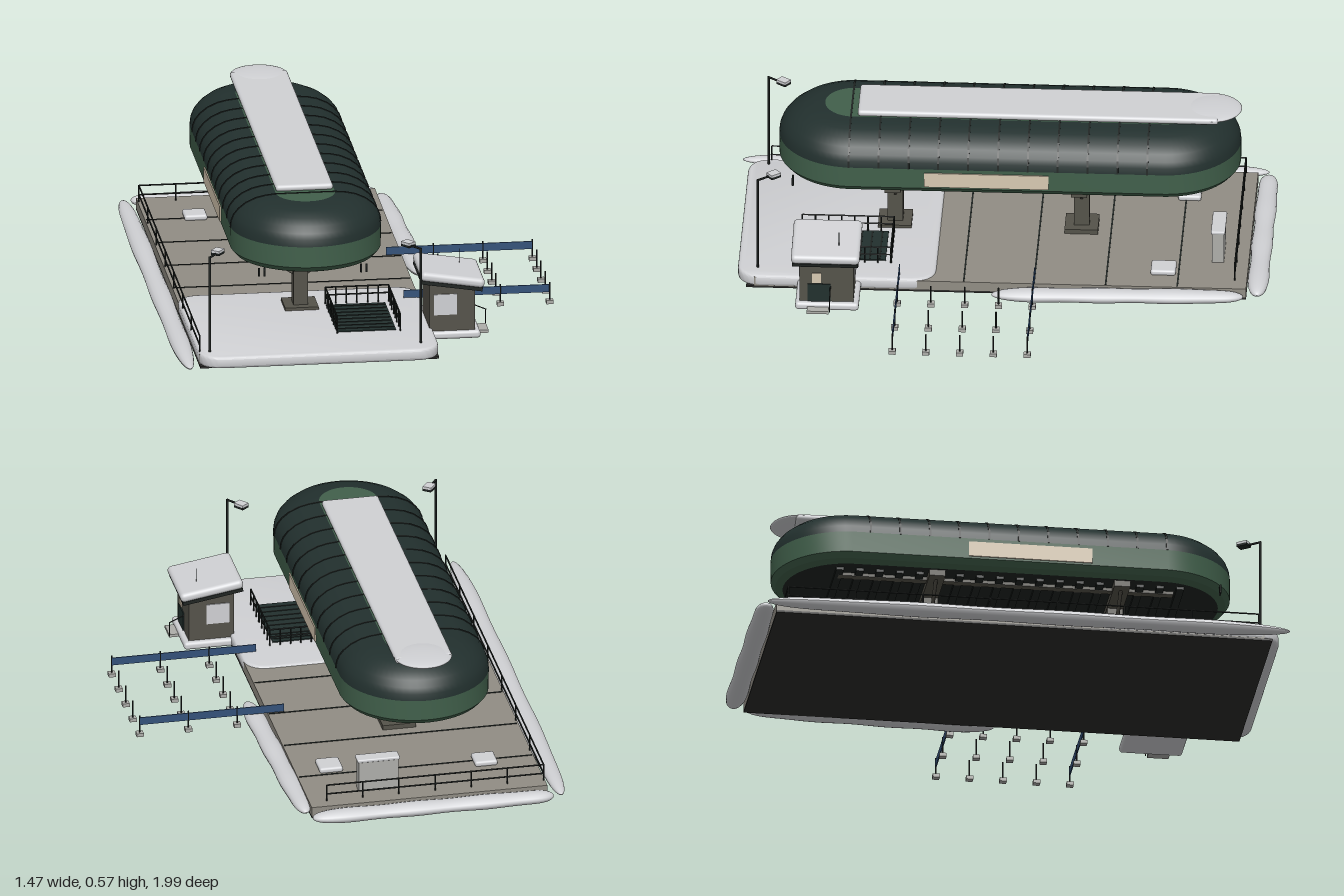
import * as THREE from 'three';
import { toCreasedNormals } from 'three/addons/utils/BufferGeometryUtils.js';
import { RoundedBoxGeometry } from 'three/addons/geometries/RoundedBoxGeometry.js';

const paint = (name, color) => Object.assign(new THREE.MeshStandardMaterial({ color }), { name });
const M = {
  snow: paint('snow', 0xd0d1d4),
  concrete: paint('concrete', 0x918d84),
  roof: paint('dark green roof', 0x22302e),
  green: paint('green cladding', 0x41604b),
  trim: paint('black trim', 0x1f2422),
  olive: paint('olive steel', 0x55534a),
  blue: paint('blue banner', 0x34527a),
  cream: paint('cream window', 0xd8c9b2),
  grey: paint('grey metal', 0xaeaeaa),
  under: paint('dark underside', 0x2b2b29),
};

export function createModel() {
  const model = new THREE.Group();
  const add = (name, geo, mat, x = 0, y = 0, z = 0, parent = model) => {
    const mesh = new THREE.Mesh(geo, mat);
    mesh.name = name;
    mesh.position.set(x, y, z);
    parent.add(mesh);
    return mesh;
  };
  // Box given by its limits on each axis
  const box = (name, mat, [x0, x1], [y0, y1], [z0, z1], round = 0, parent = model) => {
    const s = [x1 - x0, y1 - y0, z1 - z0];
    const geo = round ? new RoundedBoxGeometry(...s, 3, round) : new THREE.BoxGeometry(...s);
    return add(name, geo, mat, (x0 + x1) / 2, (y0 + y1) / 2, (z0 + z1) / 2, parent);
  };
  const rod = (name, mat, a, b, r = 0.003, parent = model) => {
    const p = new THREE.Vector3(...a), q = new THREE.Vector3(...b), d = q.clone().sub(p);
    const mesh = add(name, new THREE.CylinderGeometry(r, r, d.length(), 6), mat, 0, 0, 0, parent);
    mesh.position.copy(p).add(q).multiplyScalar(0.5);
    mesh.quaternion.setFromUnitVectors(new THREE.Vector3(0, 1, 0), d.normalize());
    return mesh;
  };
  // Railing with two rails and evenly spaced posts
  const railing = (name, a, b, n, y0, heights) => {
    const g = new THREE.Group();
    g.name = name;
    model.add(g);
    for (const y of heights) rod('rail', M.trim, [a[0], y, a[1]], [b[0], y, b[1]], 0.003, g);
    for (let i = 0; i <= n; i++) {
      const x = a[0] + (b[0] - a[0]) * i / n, z = a[1] + (b[1] - a[1]) * i / n;
      rod('railPost', M.trim, [x, y0, z], [x, heights[0], z], 0.003, g);
    }
  };

  // Deck slab, joints and underside
  box('deckSlab', M.concrete, [-0.655, 0.235], [0.042, 0.078], [-0.92, 0.9]);
  box('deckUnderside', M.under, [-0.655, 0.235], [0.034, 0.042], [-0.92, 0.93]);
  for (const z of [-0.665, -0.4, -0.135, 0.125]) box('deckJoint', M.trim, [-0.65, 0.23], [0.078, 0.08], [z - 0.003, z + 0.003]);

  // Rounded snow cover on the front of the deck
  const pad = new THREE.Shape(), pw = 0.435, ph = 0.355, r = 0.08;
  pad.moveTo(-pw + r, -ph).lineTo(pw - r, -ph).quadraticCurveTo(pw, -ph, pw, -ph + r);
  pad.lineTo(pw, ph - r).quadraticCurveTo(pw, ph, pw - r, ph).lineTo(-pw + r, ph);
  pad.quadraticCurveTo(-pw, ph, -pw, ph - r).lineTo(-pw, -ph + r).quadraticCurveTo(-pw, -ph, -pw + r, -ph);
  const padGeo = new THREE.ExtrudeGeometry(pad, { depth: 0.025, bevelThickness: 0.01, bevelSize: 0.012, bevelSegments: 3 });
  add('snowCover', toCreasedNormals(padGeo.rotateX(-Math.PI / 2), 0.7), M.snow, -0.21, 0.05, 0.597);

  // Tapered snow banks along three edges
  const bank = (x, z, length, width, power, turn) => {
    const geo = new THREE.SphereGeometry(1, 16, 40).rotateX(Math.PI / 2);
    const p = geo.attributes.position;
    for (let i = 0; i < p.count; i++) {
      const t = THREE.MathUtils.clamp(p.getZ(i), -1, 1), ring = Math.sqrt(Math.max(1 - t * t, 1e-9));
      const k = Math.sqrt(Math.max(1 - Math.abs(t) ** power, 0)) / ring * (1 + 0.05 * Math.sin(t * 11));
      p.setXYZ(i, p.getX(i) * k * width / 2, p.getY(i) * k * 0.024, t * length / 2);
    }
    geo.computeVertexNormals();
    add('snowBank', geo, M.snow, x, 0.055, z).rotation.y = turn;
  };
  bank(-0.7, 0.015, 1.95, 0.074, 7, 0);
  bank(-0.215, -0.96, 0.91, 0.076, 12, Math.PI / 2);
  bank(0.268, -0.445, 0.93, 0.076, 7, 0.03);

  // Long round-ended cabin: lathed profiles pulled apart along z
  const cx = -0.215;
  const stadium = (name, pts, mat, z0 = -0.6, z1 = 0.55) => {
    const geo = new THREE.LatheGeometry(pts.map(q => new THREE.Vector2(...q)), 64, Math.PI / 64);
    const p = geo.attributes.position;
    for (let i = 0; i < p.count; i++) p.setZ(i, p.getZ(i) + (Math.cos(Math.PI / 64 + Math.floor(i / pts.length) * Math.PI / 32) > 0 ? z1 : z0));
    return add(name, toCreasedNormals(geo, 0.45), mat, cx);
  };
  const roofLine = [[0.28, 0.455], [0.277, 0.48], [0.268, 0.503], [0.25, 0.526], [0.222, 0.548], [0.185, 0.565], [0.15, 0.573], [0.11, 0.577]];
  stadium('cabinFloor', [[0, 0.345], [0.235, 0.345]], M.trim);
  stadium('cabinWall', [[0.235, 0.345], [0.262, 0.355], [0.279, 0.375], [0.28, 0.455]], M.green);
  stadium('cabinRoof', roofLine, M.roof);
  stadium('roofDeck', [[0.11, 0.577], [0, 0.577]], M.green);
  const arch = new THREE.Shape();
  [...roofLine, ...roofLine.map(([x, y]) => [-x, y]).reverse()].forEach(([x, y], i) => {
    const px = x * 1.008, py = 0.455 + (y - 0.455) * 1.015;
    i ? arch.lineTo(px, py) : arch.moveTo(px, py);
  });
  const ribGeo = new THREE.ExtrudeGeometry(arch, { depth: 0.007, bevelEnabled: false });
  for (let i = 0; i < 11; i++) add('roofRib', ribGeo, M.trim, cx, 0, -0.549 + i * 0.1105);

  // Snow strip and round drift on the roof
  box('roofSnow', M.snow, [-0.322, -0.108], [0.574, 0.599], [-0.8, 0.535], 0.012);
  const drift = add('roofDrift', new THREE.SphereGeometry(1, 32, 12), M.snow, cx, 0.59, -0.775);
  drift.scale.set(0.108, 0.014, 0.108);

  // Side windows, floor beams and front lights
  for (const s of [-1, 1]) {
    box('sideWindow', M.cream, [cx + s * 0.281 - 0.003, cx + s * 0.281 + 0.003], [0.383, 0.441], [-0.18, 0.28]);
    for (const d of [-0.01, 0.01]) rod('frontLight', M.trim, [cx + s * 0.19 + d, 0.33, 0.77], [cx + s * 0.19 + d, 0.362, 0.77], 0.004);
    box('floorGirder', M.olive, [cx + s * 0.14 - 0.015, cx + s * 0.14 + 0.015], [0.333, 0.346], [-0.65, 0.6]);
  }
  for (let i = 0; i < 18; i++) {
    const z = -0.65 + i * 0.0747;
    box('floorBeam', M.trim, [cx - 0.2, cx + 0.2], [0.334, 0.346], [z - 0.014, z + 0.014]);
  }

  // Two support columns with braces
  for (const z of [-0.29, 0.4]) {
    box('columnBase', M.olive, [-0.278, -0.153], [0.076, 0.096], [z - 0.062, z + 0.062]);
    box('column', M.olive, [-0.243, -0.189], [0.09, 0.346], [z - 0.029, z + 0.029]);
    box('columnCollar', M.trim, [-0.246, -0.186], [0.228, 0.236], [z - 0.032, z + 0.032]);
    box('columnHead', M.olive, [-0.44, 0.01], [0.322, 0.346], [z - 0.03, z + 0.03]);
    for (const s of [-1, 1]) rod('columnBrace', M.olive, [cx + s * 0.025, 0.212, z], [cx + s * 0.19, 0.33, z], 0.007);
  }

  // Deck railings
  railing('leftRailing', [-0.65, -0.875], [-0.65, 0.88], 7, 0.07, [0.142, 0.106]);
  railing('backRailing', [-0.65, -0.875], [0.17, -0.875], 6, 0.07, [0.142, 0.106]);

  // Stairwell with steps and guard rails
  box('stairwell', M.roof, [-0.12, 0.1], [0.08, 0.089], [0.42, 0.73]);
  for (let i = 0; i < 8; i++) box('stairEdge', M.trim, [-0.115, 0.095], [0.088, 0.091], [0.44 + i * 0.037, 0.446 + i * 0.037]);
  railing('stairBackRailing', [-0.12, 0.4], [0.115, 0.4], 6, 0.08, [0.15, 0.12]);
  railing('stairSideRailing', [0.115, 0.4], [0.115, 0.74], 7, 0.08, [0.15, 0.12]);
  railing('stairInnerRailing', [-0.12, 0.4], [-0.12, 0.74], 7, 0.08, [0.15, 0.12]);

  // Lamp posts turned towards the middle
  for (const [x, hx] of [[-0.615, -0.578], [0.172, 0.132]]) {
    rod('lampPost', M.trim, [x, 0.07, 0.89], [x, 0.455, 0.89], 0.0045);
    rod('lampArm', M.trim, [x, 0.452, 0.89], [hx, 0.452, 0.84], 0.004);
    for (const [name, mat, y] of [['lampHead', M.trim, 0.45], ['lampSnow', M.snow, 0.459]])
      add(name, new THREE.BoxGeometry(0.034, 0.009, 0.042), mat, hx, y, 0.833).rotation.y = Math.atan2(x - hx, 0.05);
  }

  // Equipment cabinet and low hatches on the deck
  box('cabinet', M.grey, [-0.112, 0.038], [0.076, 0.2], [-0.828, -0.785]);
  box('cabinetSnow', M.snow, [-0.117, 0.043], [0.197, 0.21], [-0.833, -0.78], 0.005);
  box('cabinetSeam', M.olive, [-0.037, -0.033], [0.085, 0.195], [-0.786, -0.783]);
  box('hatch', M.snow, [0.06, 0.148], [0.076, 0.098], [-0.655, -0.562], 0.009);
  box('hatch', M.snow, [-0.51, -0.425], [0.076, 0.098], [-0.72, -0.635], 0.009);

  // Ticket booth with a sloping snowy roof
  box('boothBase', M.snow, [0.2, 0.415], [0.042, 0.072], [0.505, 0.74], 0.012);
  box('booth', M.olive, [0.225, 0.395], [0.06, 0.25], [0.525, 0.725]);
  box('boothFrontWindow', M.snow, [0.242, 0.328], [0.135, 0.215], [0.723, 0.729]);
  box('boothDoor', M.roof, [0.393, 0.399], [0.068, 0.145], [0.61, 0.695]);
  box('boothSideWindow', M.cream, [0.393, 0.399], [0.15, 0.19], [0.645, 0.678]);
  box('boothBackWindow', M.snow, [0.242, 0.328], [0.135, 0.215], [0.521, 0.527]);
  const boothRoof = new THREE.Group();
  boothRoof.name = 'boothRoof';
  boothRoof.position.set(0.31, 0.272, 0.628);
  boothRoof.rotation.z = -0.16;
  model.add(boothRoof);
  box('boothRoofPlate', M.trim, [-0.115, 0.115], [-0.026, -0.012], [-0.122, 0.122], 0, boothRoof);
  box('boothRoofSnow', M.snow, [-0.12, 0.12], [-0.015, 0.021], [-0.127, 0.127], 0.016, boothRoof);
  rod('antenna', M.trim, [0.355, 0.28, 0.58], [0.355, 0.34, 0.58], 0.0015);
  box('boothStep', M.grey, [0.4, 0.45], [0.047, 0.058], [0.615, 0.695]);
  rod('stepRail', M.trim, [0.395, 0.135, 0.61], [0.452, 0.11, 0.61], 0.002);
  rod('stepRailPost', M.trim, [0.45, 0.055, 0.61], [0.45, 0.11, 0.61], 0.002);

  // Queue posts with two banner rows
  const rows = [-0.135, -0.01, 0.115, 0.24, 0.365];
  rows.forEach((z, i) => {
    for (const x of [0.352, 0.536, 0.72]) {
      box('queueFoot', M.grey, [x - 0.013, x + 0.013], [0.04, 0.054], [z - 0.013, z + 0.013]);
      rod('queuePost', M.trim, [x, 0.05, z], [x, 0.122, z], 0.003);
    }
    if (i % 4 === 0) box('queueBanner', M.blue, [0.175, 0.72], [0.084, 0.114], [z - 0.002, z + 0.002]);
  });
  return model;
}
